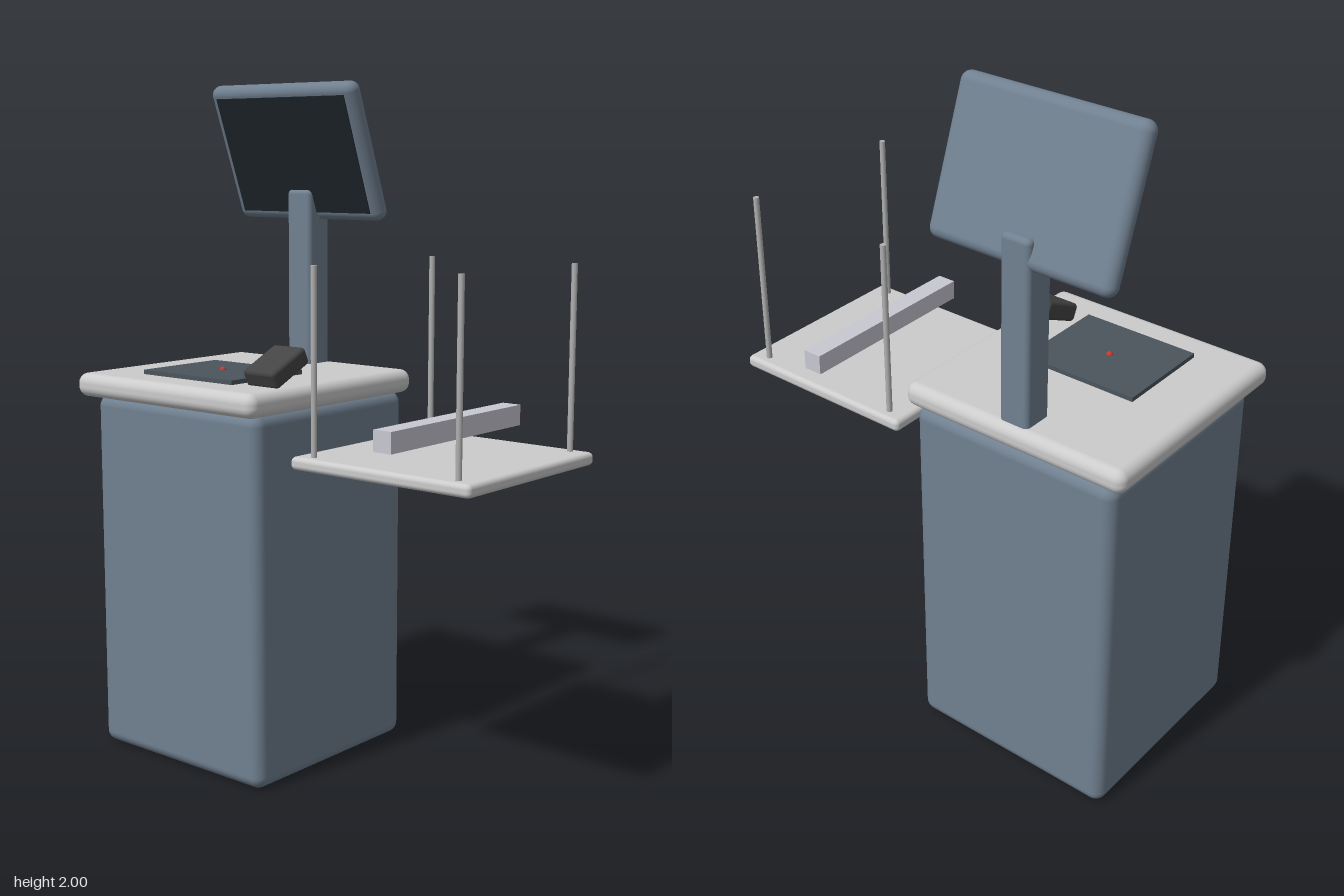
import * as THREE from 'three';
import { RoundedBoxGeometry } from 'three/addons/geometries/RoundedBoxGeometry.js';

const mat = (color) => new THREE.MeshStandardMaterial({ color });
const slate = mat(0x708090);
const stone = mat(0xbdbdbd);
const steel = mat(0xb0b0b0);
const lightMetal = mat(0xc8c8d2);
const darkGlass = mat(0x1f272d);
const rubber = mat(0x4c555d);
const charcoal = mat(0x444444);
const red = mat(0xc8382b);

function add(parent, name, geometry, material, x, y, z) {
  const mesh = new THREE.Mesh(geometry, material);
  mesh.name = name;
  mesh.position.set(x, y, z);
  parent.add(mesh);
  return mesh;
}

const rounded = (w, h, d, r) => new RoundedBoxGeometry(w, h, d, 5, r);

export function createModel() {
  const model = new THREE.Group();
  model.name = 'checkoutStation';

  // Cabinet and counter
  const cx = -0.33;
  add(model, 'cabinet', rounded(0.656, 1.085, 0.656, 0.035), slate, cx, 0.5425, -0.022);
  add(model, 'counter', rounded(0.716, 0.07, 0.716, 0.03), stone, cx, 1.117, 0);

  // Scanning plate with its red light
  add(model, 'scannerPlate', new THREE.BoxGeometry(0.358, 0.014, 0.3), rubber, cx, 1.158, 0.096);
  add(model, 'scannerLight', new THREE.SphereGeometry(0.01, 16, 12), red, cx, 1.164, 0.096);

  // Card reader, tipped down towards the front
  const reader = add(model, 'cardReader', rounded(0.118, 0.054, 0.152, 0.012), charcoal, -0.066, 1.202, 0.154);
  reader.rotation.x = 0.44;

  // Post carrying the tilted monitor
  add(model, 'post', rounded(0.093, 0.55, 0.095, 0.015), slate, cx, 1.411, -0.288);
  const monitor = new THREE.Group();
  monitor.name = 'monitor';
  monitor.position.set(-0.329, 1.798, -0.241);
  monitor.rotation.x = 0.35;
  add(monitor, 'monitorCase', rounded(0.57, 0.427, 0.057, 0.028), slate, 0, 0, 0);
  add(monitor, 'screen', new THREE.BoxGeometry(0.508, 0.363, 0.01), darkGlass, 0, 0, 0.027);
  model.add(monitor);

  // Bagging shelf with four upright rods and a cross beam
  const sx = 0.388, sz = -0.024;
  add(model, 'shelf', rounded(0.596, 0.037, 0.596, 0.014), stone, sx, 0.963, sz);
  add(model, 'bagBeam', new THREE.BoxGeometry(0.059, 0.059, 0.596), lightMetal, 0.41, 1.059, sz);
  const rod = new THREE.CylinderGeometry(0.0085, 0.0085, 0.525, 16);
  for (const dx of [-0.24, 0.24]) {
    for (const dz of [-0.263, 0.263]) {
      add(model, 'bagRod', rod, steel, sx + dx, 1.2375, sz + dz);
    }
  }
  return model;
}
